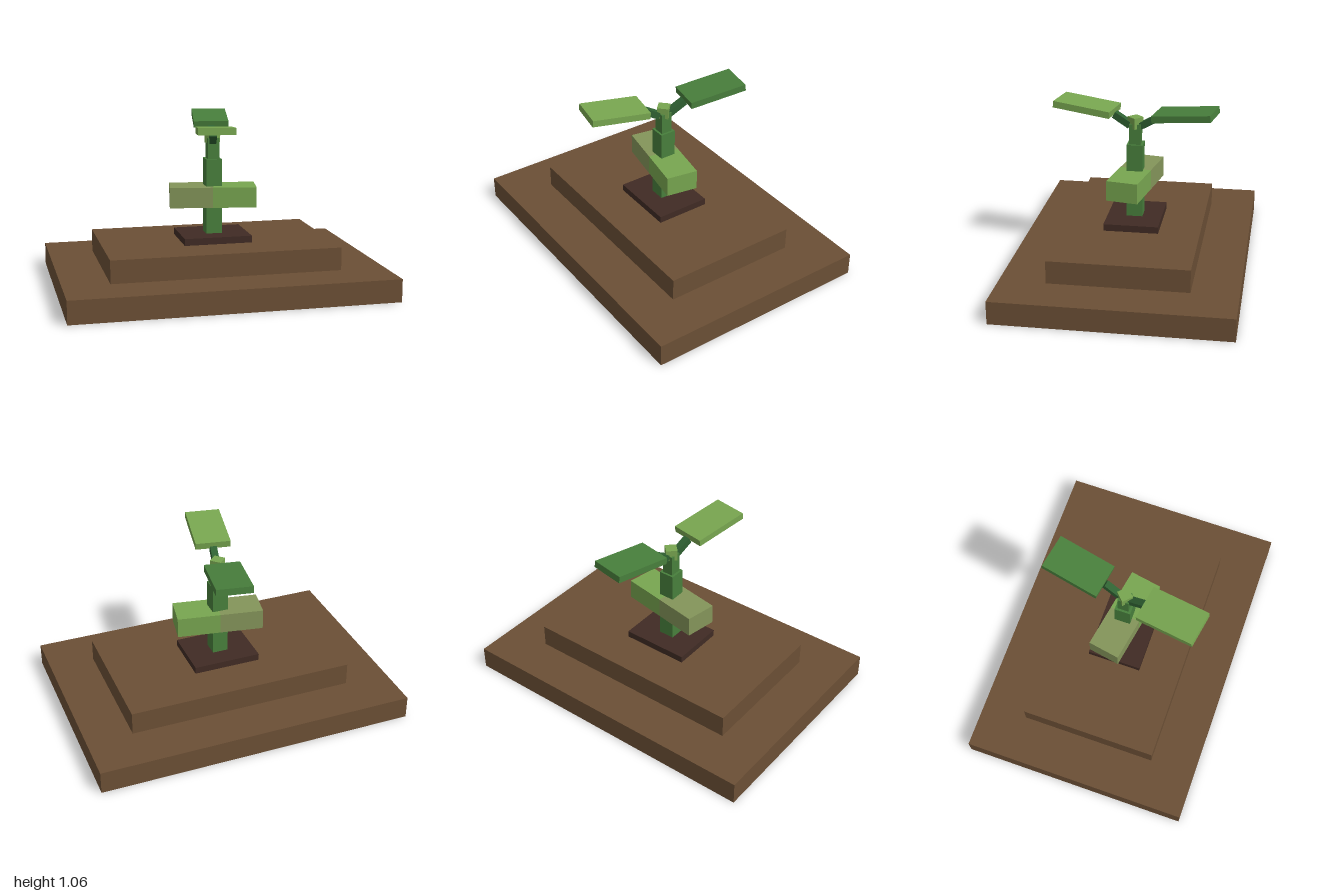
import * as THREE from 'three';

const mat = (name, color) => {
  const m = new THREE.MeshStandardMaterial({ color });
  m.name = name;
  return m;
};

// Box standing on its bottom height y0
function slab(name, w, h, d, y0, material) {
  const mesh = new THREE.Mesh(new THREE.BoxGeometry(w, h, d), material);
  mesh.name = name;
  mesh.position.y = y0 + h / 2;
  return mesh;
}

export function createModel() {
  const soil = mat('soil brown', 0x6b4f35);
  const darkSoil = mat('dark soil', 0x402b24);
  const stemGreen = mat('stem green', 0x487f3c);
  const branchGreen = mat('dark branch green', 0x2f6132);
  const lightLeaf = mat('light leaf green', 0x78a650);
  const oliveLeaf = mat('olive leaf green', 0x84955a);

  const model = new THREE.Group();
  model.name = 'seedling';
  const twist = THREE.MathUtils.degToRad(-10);

  // Stepped mound
  model.add(slab('lowerMound', 2, 0.143, 1.428, 0, soil));
  model.add(slab('upperMound', 1.428, 0.143, 0.857, 0.143, soil));
  model.add(slab('soilPatch', 0.428, 0.043, 0.343, 0.286, darkSoil));

  // Stem in two steps, topped by a bud turned to a diamond
  model.add(slab('lowerStem', 0.1, 0.471, 0.1, 0.329, stemGreen));
  model.add(slab('upperStem', 0.072, 0.13, 0.072, 0.8, stemGreen));
  const bud = slab('bud', 0.071, 0.071, 0.071, 0.9, lightLeaf);
  bud.rotation.y = Math.PI / 4;
  model.add(bud);

  // Thick lower leaf pair, meeting at the stem
  const lowerLeaves = new THREE.Group();
  lowerLeaves.name = 'lowerLeaves';
  lowerLeaves.rotation.y = twist;
  for (const [name, side, material] of [['leftLowerLeaf', 1, lightLeaf], ['rightLowerLeaf', -1, oliveLeaf]]) {
    const leaf = slab(name, 0.27, 0.128, 0.2, 0.502, material);
    leaf.position.x = side * 0.135;
    lowerLeaves.add(leaf);
  }
  model.add(lowerLeaves);

  // Upper leaves, each on a slanting branch, opposite one another
  for (const [name, turn, material] of [['front', 0, lightLeaf], ['back', Math.PI, stemGreen]]) {
    const sprig = new THREE.Group();
    sprig.name = name + 'Sprig';
    sprig.rotation.y = twist + turn;

    const branch = slab(name + 'Branch', 0.043, 0.043, 0.12, 0, branchGreen);
    branch.position.set(0, 0.945, 0.086);
    branch.rotation.x = -Math.PI / 6;

    const leaf = slab(name + 'Leaf', 0.221, 0.042, 0.371, 0, material);
    leaf.position.set(0, 1.015, 0.32);
    leaf.rotation.x = -0.105;

    sprig.add(branch, leaf);
    model.add(sprig);
  }
  return model;
}
